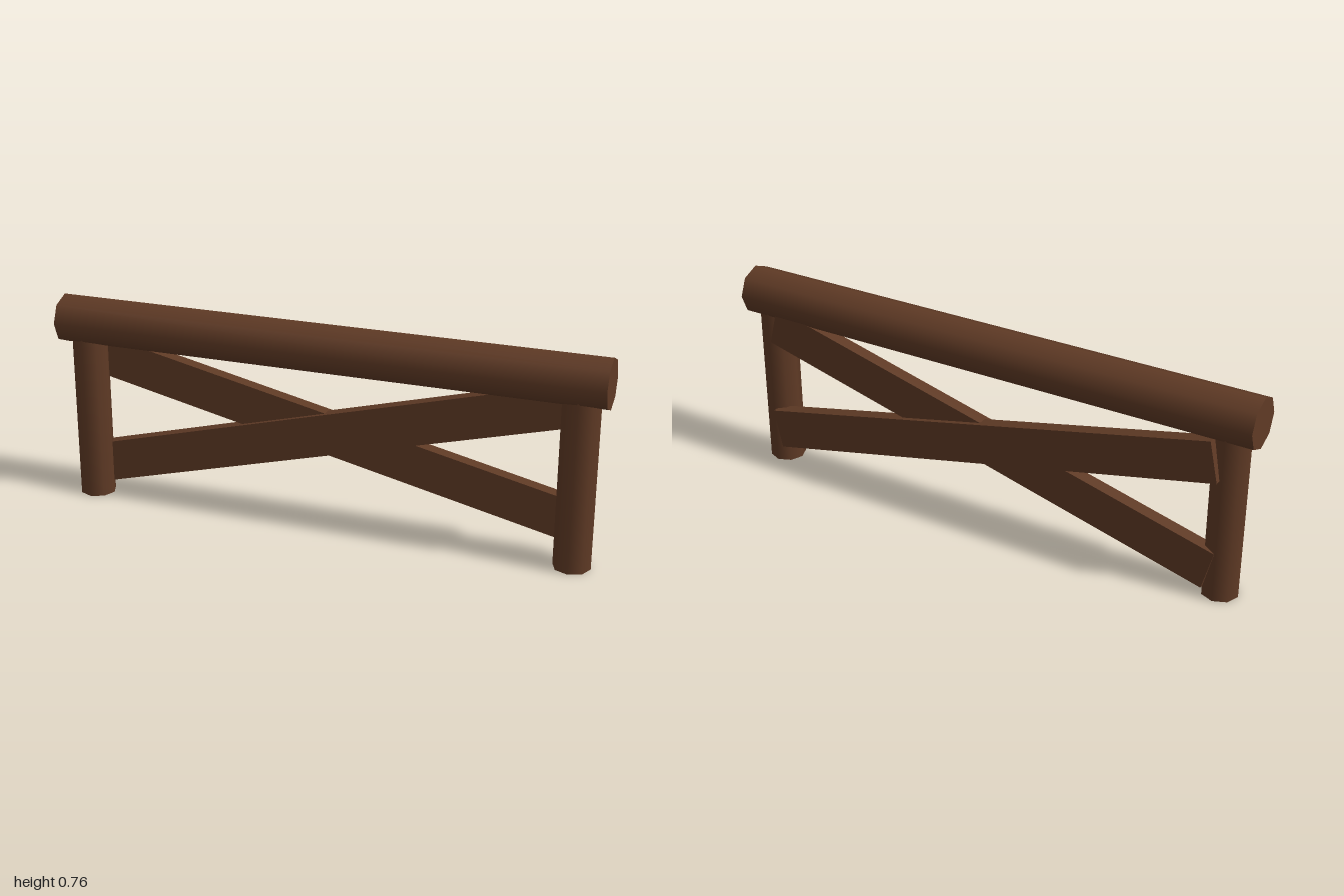
import * as THREE from 'three';

export function createModel() {
  const group = new THREE.Group();
  const wood = new THREE.MeshStandardMaterial({ color: 0x5f3a25 });
  wood.name = 'dark brown wood';

  const add = (name, geometry, x, y, z, tilt = 0) => {
    const mesh = new THREE.Mesh(geometry, wood);
    mesh.name = name;
    mesh.position.set(x, y, z);
    mesh.rotation.z = tilt;
    group.add(mesh);
  };

  // Eight-sided log lying across the top
  add('topRail', new THREE.CylinderGeometry(0.09, 0.09, 2, 8), 0, 0.67, 0, Math.PI / 2);

  // Upright logs, their tops buried in the rail
  const postHeight = 0.65;
  for (const [name, side] of [['leftPost', 1], ['rightPost', -1]]) {
    add(name, new THREE.CylinderGeometry(0.066, 0.066, postHeight, 8), side * 0.905, postHeight / 2, 0);
  }

  // Crossed planks on the back, half lapped over each other
  add('innerBrace', new THREE.BoxGeometry(1.82, 0.15, 0.05), 0, 0.342, -0.041, 0.257);
  add('outerBrace', new THREE.BoxGeometry(1.8, 0.15, 0.05), 0, 0.341, -0.058, -0.215);

  return group;
}
